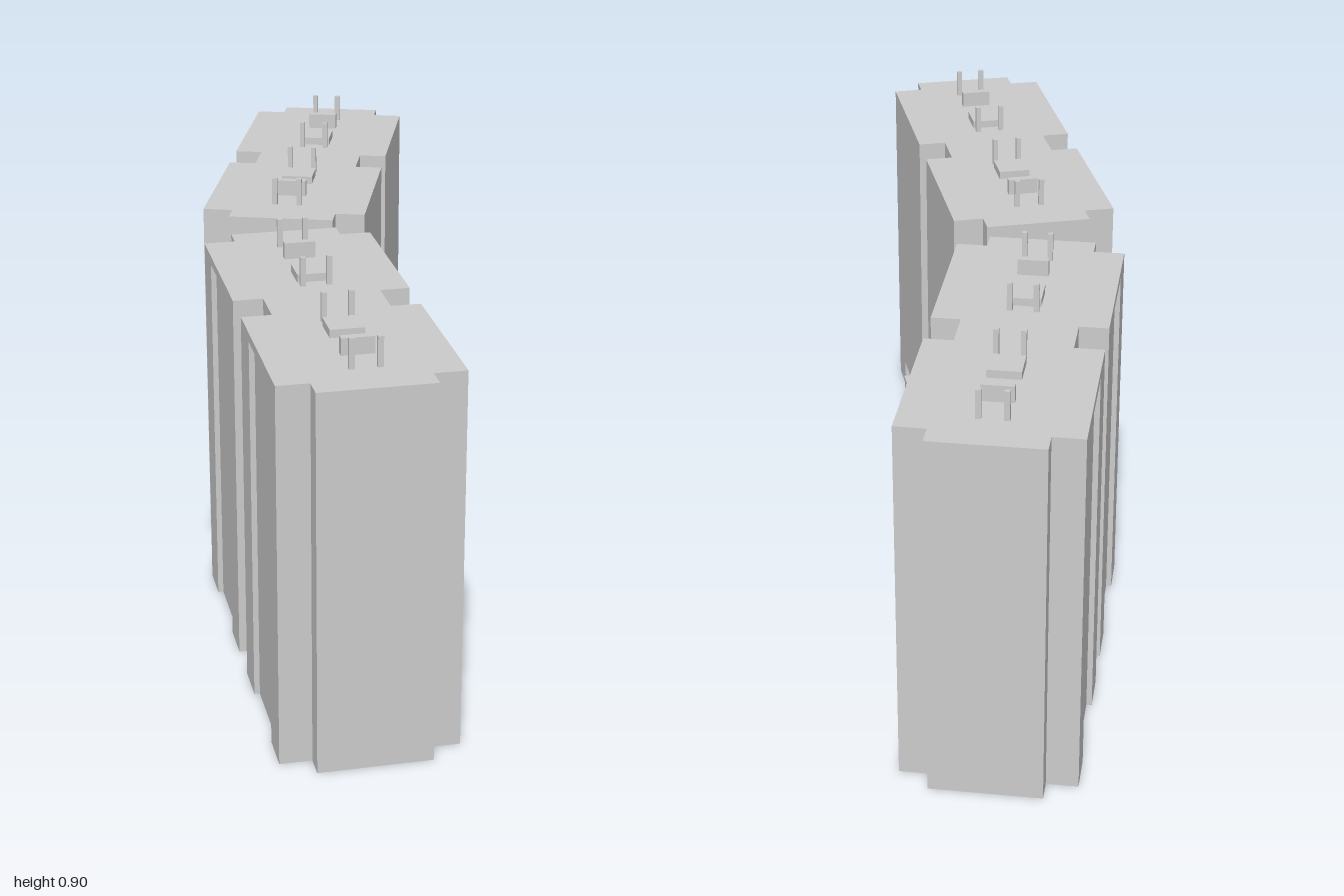
import * as THREE from 'three';

const material = new THREE.MeshStandardMaterial({ color: 0xcccccc, side: THREE.DoubleSide, flatShading: true });

const TOP = 0.84, PANEL_TOP = 0.82, ENTRY_TOP = 0.07;
const WIDE = 0.192, NOTCH = 0.127, ENTRY = 0.165, PANEL = 0.18;

// Floor plan as [x, z] corners: half is listed, the other half is mirrored in z
function footprint(withEntry, withPanel) {
  const half = [[NOTCH, 0.05], [WIDE, 0.05]];
  if (withEntry) half.push([WIDE, 0.054], [ENTRY, 0.054], [ENTRY, 0.345], [WIDE, 0.345]);
  half.push([WIDE, 0.434], [0.1225, 0.434], [0.1225, 0.484],
    [-0.1225, 0.484], [-0.1225, 0.434], [-WIDE, 0.434]);
  if (withPanel) half.push([-WIDE, 0.345], [-PANEL, 0.345], [-PANEL, 0.142], [-WIDE, 0.142]);
  half.push([-WIDE, 0.05], [-NOTCH, 0.05]);
  return half.concat(half.map(([x, z]) => [x, -z]).reverse());
}

// Vertical walls along a closed floor plan, open above and below
function wallGeometry(plan, y0, y1) {
  const v = [];
  plan.forEach(([ax, az], i) => {
    const [bx, bz] = plan[(i + 1) % plan.length];
    v.push(ax, y0, az, ax, y1, az, bx, y1, bz, ax, y0, az, bx, y1, bz, bx, y0, bz);
  });
  const g = new THREE.BufferGeometry();
  g.setAttribute('position', new THREE.Float32BufferAttribute(v, 3));
  g.computeVertexNormals();
  return g;
}

function add(parent, name, geometry) {
  const mesh = new THREE.Mesh(geometry, material);
  mesh.name = name;
  parent.add(mesh);
  return mesh;
}

// Box given by its limits
function box(parent, name, x0, x1, y0, y1, z0, z1) {
  add(parent, name, new THREE.BoxGeometry(x1 - x0, y1 - y0, Math.abs(z1 - z0)))
    .position.set((x0 + x1) / 2, (y0 + y1) / 2, (z0 + z1) / 2);
}

// Downward facing strip above a recess
function soffit(parent, name, x0, x1, y, z0, z1) {
  const g = new THREE.PlaneGeometry(x1 - x0, Math.abs(z1 - z0)).rotateX(Math.PI / 2);
  add(parent, name, g).position.set((x0 + x1) / 2, y, (z0 + z1) / 2);
}

function createBlock() {
  const block = new THREE.Group();

  // Shell: entrance level, main storeys, parapet and roof
  add(block, 'entranceWalls', wallGeometry(footprint(true, true), 0, ENTRY_TOP));
  add(block, 'mainWalls', wallGeometry(footprint(false, true), ENTRY_TOP, PANEL_TOP));
  add(block, 'parapet', wallGeometry(footprint(false, false), PANEL_TOP, TOP));
  const shape = new THREE.Shape(footprint(false, false).map(([x, z]) => new THREE.Vector2(x, -z)));
  add(block, 'roof', new THREE.ShapeGeometry(shape).rotateX(-Math.PI / 2)).position.y = TOP;

  for (const s of [-1, 1]) {
    // Entrance recess with canopy and porch walls, and the tall rear recess
    soffit(block, 'entranceCeiling', ENTRY, WIDE, ENTRY_TOP, s * 0.054, s * 0.345);
    soffit(block, 'rearPanelHead', -WIDE, -PANEL, PANEL_TOP, s * 0.142, s * 0.345);
    box(block, 'canopy', ENTRY, 0.211, ENTRY_TOP, 0.078, s * 0.05, s * 0.25);
    box(block, 'porchWall', ENTRY, 0.209, 0, ENTRY_TOP, s * 0.238, s * 0.25);
    box(block, 'porchWall', ENTRY, 0.209, 0, ENTRY_TOP, s * 0.2, s * 0.21);

    // Roof equipment
    box(block, 'roofHatch', -0.037, 0.037, TOP, 0.858, s * 0.133, s * 0.207);
    box(block, 'roofVent', -0.035, 0.035, TOP, 0.877, s * 0.289, s * 0.307);
    for (const x of [-0.029, 0.029]) {
      for (const z of [0.111, 0.377]) {
        box(block, 'roofPipe', x - 0.006, x + 0.006, TOP, 0.905, s * (z - 0.005), s * (z + 0.005));
      }
    }
  }
  return block;
}

export function createModel() {
  const model = new THREE.Group();
  model.name = 'apartmentBuilding';
  // Two identical blocks set at an angle to each other
  const places = [['frontBlock', -0.202, 0.501, 6.2], ['backBlock', 0.076, -0.51, 25.1]];
  for (const [name, x, z, degrees] of places) {
    const block = createBlock();
    block.name = name;
    block.position.set(x, 0, z);
    block.rotation.y = -THREE.MathUtils.degToRad(degrees);
    model.add(block);
  }
  return model;
}
